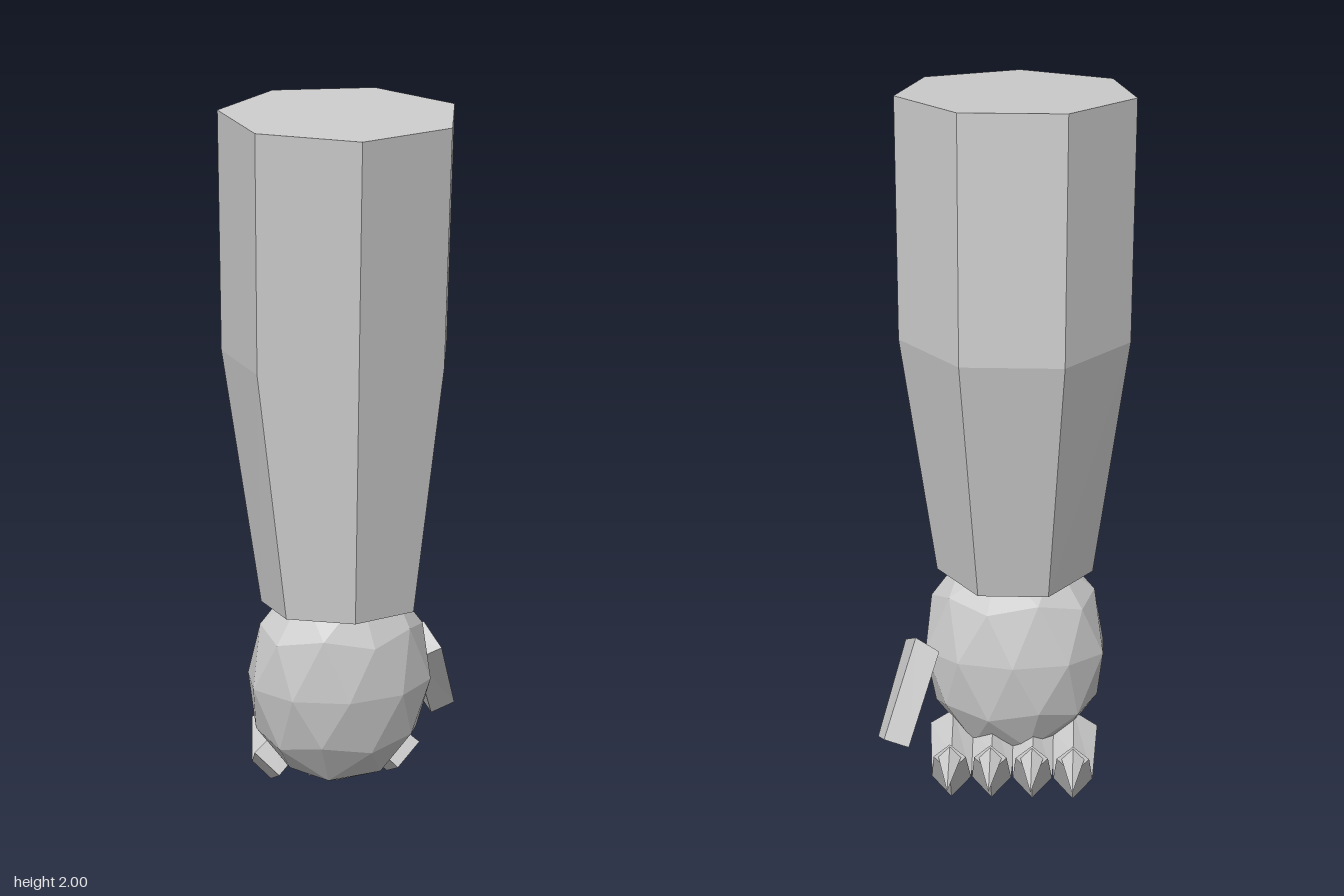
import * as THREE from 'three';

// Closed faceted solid through rings of [x, y, z] points; a one-point ring makes a tip.
function loft(rings) {
  const n = Math.max(...rings.map((r) => r.length));
  const full = rings.map((r) => (r.length === 1 ? Array(n).fill(r[0]) : r));
  const tris = [];
  for (let k = 0; k < full.length - 1; k++) {
    const a = full[k], b = full[k + 1];
    for (let i = 0; i < n; i++) {
      const j = (i + 1) % n;
      tris.push([a[i], a[j], b[j]]);
      if (rings[k + 1].length > 1) tris.push([a[i], b[j], b[i]]);
      else tris[tris.length - 1] = [a[i], a[j], b[i]];
    }
  }
  const first = full[0], last = full[full.length - 1];
  for (let i = 1; i < n - 1; i++) {
    tris.push([first[0], first[i + 1], first[i]]);
    if (rings[rings.length - 1].length > 1) tris.push([last[0], last[i], last[i + 1]]);
  }
  // Turn the faces outward
  const v = (p) => new THREE.Vector3(...p);
  const volume = tris.reduce((s, [a, b, c]) => s + v(a).dot(v(b).cross(v(c))), 0);
  if (volume < 0) tris.forEach((t) => t.reverse());
  const geo = new THREE.BufferGeometry();
  geo.setAttribute('position', new THREE.Float32BufferAttribute(tris.flat(2), 3));
  geo.computeVertexNormals();
  return geo;
}

export function createModel() {
  const model = new THREE.Group();
  model.name = 'forearmAndHand';
  const skin = new THREE.MeshStandardMaterial({ color: 0xcccccc, flatShading: true });
  skin.name = 'light grey';
  const add = (name, geo, parent = model) => {
    const mesh = new THREE.Mesh(geo, skin);
    mesh.name = name;
    parent.add(mesh);
    return mesh;
  };

  // Seven-sided forearm: centre height, centre z, radius, slope of the ring
  const armRing = ([y, z, r, slope]) =>
    Array.from({ length: 7 }, (_, i) => {
      const a = (i / 7) * Math.PI * 2;
      return [-0.03 + r * Math.sin(a), y + slope * r * Math.cos(a), z + r * Math.cos(a)];
    });
  add('forearm', loft([
    [0.627, 0.061, 0.2235, 0.07],
    [1.328, 0.018, 0.319, -0.01],
    [1.981, 0.06, 0.325, -0.0645],
  ].map(armRing)));

  // Palm: faceted ball with a corner at each pole
  const palm = new THREE.IcosahedronGeometry(1, 1);
  palm.rotateZ(-Math.atan(2 / (1 + Math.sqrt(5))));
  palm.scale(0.263, 0.33, 0.185);
  palm.rotateX(0.07);
  palm.translate(-0.03, 0.39, 0.014);
  add('palm', palm);

  // Curled fingers with diamond sections: half width, then [y, z] of outer, side and inner corners
  const sections = [
    [0.067, [0.09, 0.0], [0.155, -0.025], [0.21, -0.045]],
    [0.055, [0.003, -0.178], [0.065, -0.172], [0.135, -0.165]],
    [0.045, [0.13, -0.262], [0.17, -0.25], [0.205, -0.243]],
  ];
  const diamond = (x, [w, o, s, i]) => [[x, ...o], [x + w, ...s], [x, ...i], [x - w, ...s]];
  const fingers = new THREE.Group();
  fingers.name = 'fingers';
  model.add(fingers);
  [-0.2, -0.086, 0.029, 0.142].forEach((x, i) => {
    add('finger' + (i + 1), loft(sections.map((s) => diamond(x, s))), fingers);
    const base = diamond(x, [0.032, [0.14, -0.255], [0.17, -0.248], [0.2, -0.242]]);
    add('claw' + (i + 1), loft([base, [[x, 0.138, -0.384]]]), fingers);
  });

  // Thumb: slanted four-sided block
  add('thumb', loft([
    [[0.275, 0.43, -0.045], [0.24, 0.48, -0.135], [0.175, 0.44, -0.14], [0.2, 0.4, -0.045]],
    [[0.345, 0.2, -0.193], [0.323, 0.225, -0.258], [0.255, 0.2, -0.255], [0.275, 0.175, -0.185]],
  ]));

  return model;
}
